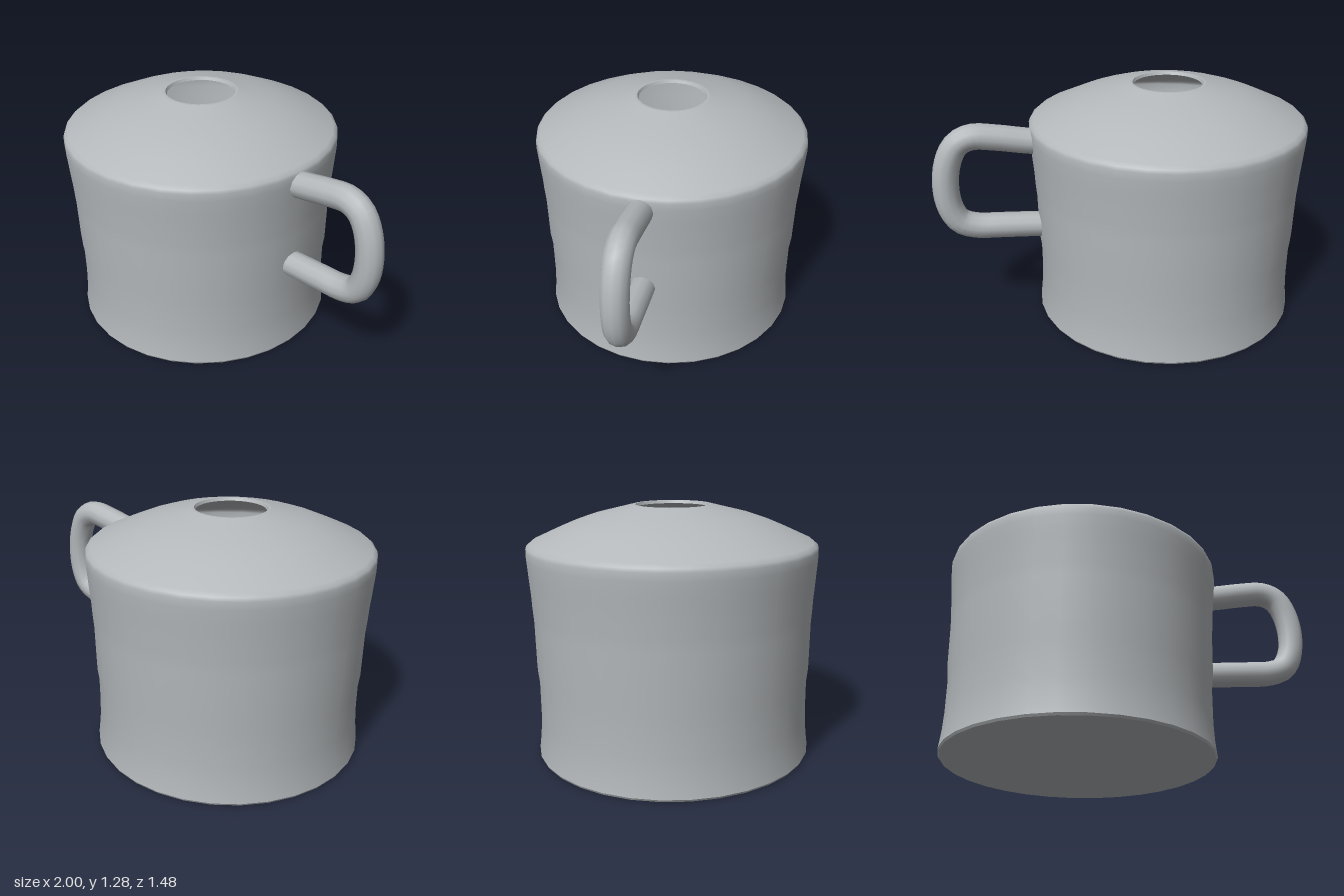
import * as THREE from 'three';

export function createModel() {
  const group = new THREE.Group();
  const metal = new THREE.MeshStandardMaterial({ color: 0xb4b8bb });
  metal.name = 'grey metal';
  const centreX = -0.26;

  const add = (name, geometry, x = 0) => {
    const mesh = new THREE.Mesh(geometry, metal);
    mesh.name = name;
    mesh.position.x = x;
    group.add(mesh);
  };
  // Revolve a profile of [radius, height] pairs about the body axis
  const turn = (name, profile) => add(name, new THREE.LatheGeometry(
    profile.map(([r, y]) => new THREE.Vector2(r, y)), 32), centreX);

  // Wall with shallow steps, rounded shoulder and domed lid
  const outer = [
    [0.715, 0.012], [0.711, 0.04], [0.704, 0.11], [0.7, 0.2], [0.701, 0.39], [0.71, 0.46],
    [0.715, 0.7], [0.721, 0.77], [0.724, 0.83], [0.731, 0.91], [0.735, 0.96], [0.741, 1.03],
    [0.741, 1.07], [0.735, 1.088], [0.715, 1.105], [0.58, 1.167], [0.5, 1.201],
    [0.4, 1.235], [0.3, 1.26], [0.2, 1.285],
  ];
  turn('body', outer);
  turn('baseBevel', [[0.708, 0], [0.715, 0.012]]);
  turn('base', [[0, 0], [0.708, 0]]);

  // Thin opening lip and hollow interior
  turn('openingLip', [[0.2, 1.285], [0.187, 1.285]]);
  turn('openingEdge', [[0.187, 1.285], [0.18, 1.27]]);
  const inner = outer.slice(1, -1).reverse().map(([r, y]) => [r - 0.015, y - 0.015]);
  turn('interior', [[0.18, 1.27], ...inner]);
  turn('interiorFloor', [[0.696, 0.025], [0, 0.025]]);

  // Bent tube handle
  const path = new THREE.CatmullRomCurve3([
    [0.44, 1.007], [0.52, 1.02], [0.66, 1.046], [0.78, 1.058], [0.855, 1.025],
    [0.905, 0.94], [0.93, 0.8], [0.915, 0.67], [0.87, 0.59], [0.79, 0.555],
    [0.66, 0.543], [0.52, 0.533], [0.43, 0.526],
  ].map(([x, y]) => new THREE.Vector3(x, y, 0)));
  add('handle', new THREE.TubeGeometry(path, 40, 0.069, 12));

  return group;
}
